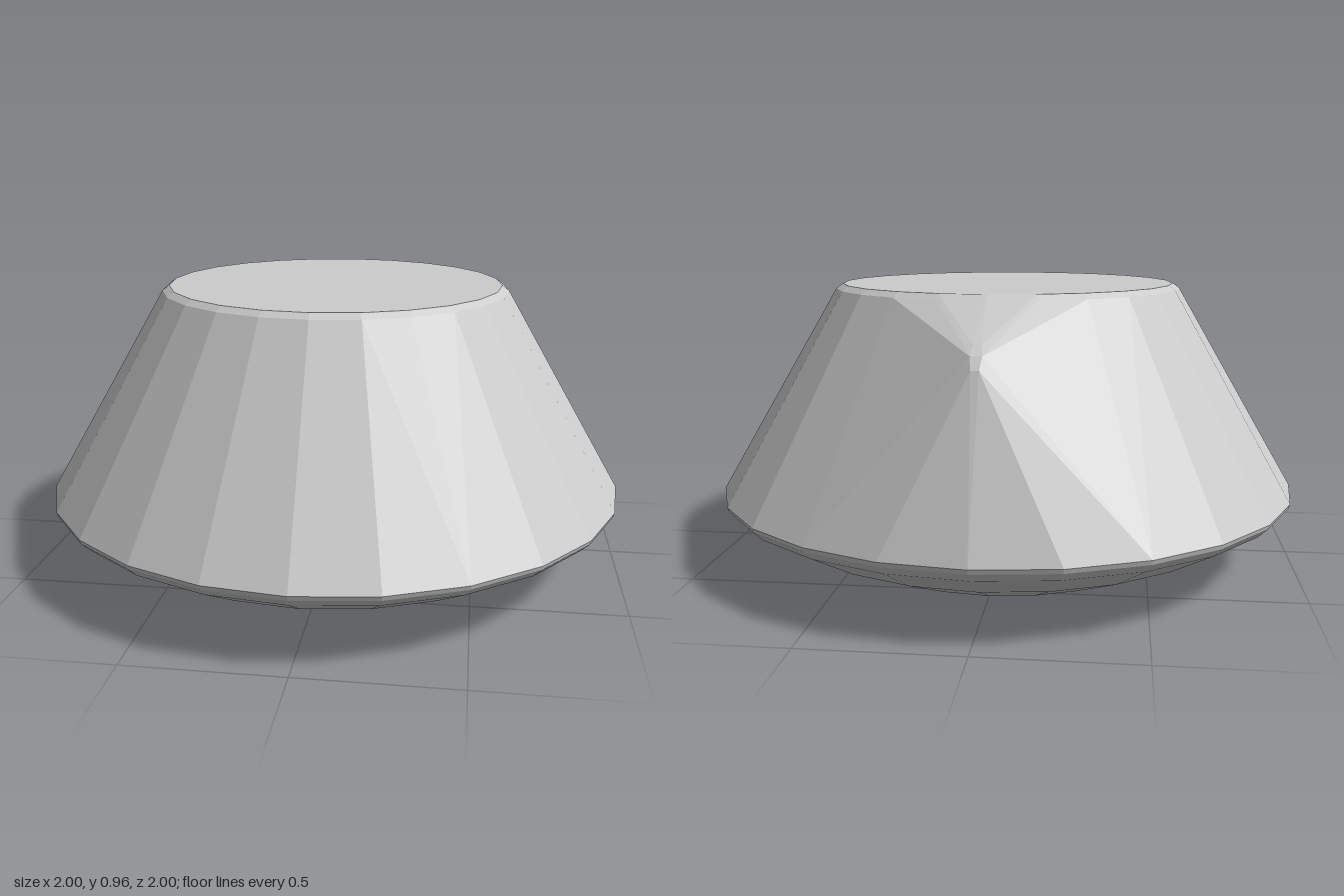
import * as THREE from 'three';
import { ConvexGeometry } from 'three/addons/geometries/ConvexGeometry.js';

export function createModel() {
  const group = new THREE.Group();
  const material = new THREE.MeshStandardMaterial({ color: 0xcccccc, flatShading: true });

  // Rings of the body as [radius, height], from the foot to the flat top
  const rings = [
    [0.545, 0], [0.8, 0.11], [0.965, 0.205], [0.995, 0.235],
    [1, 0.25], [0.985, 0.275], [0.595, 0.94], [0.572, 0.957],
  ];
  const sides = 24;
  const points = [];
  for (const [radius, y] of rings) {
    for (let i = 0; i < sides; i++) {
      const a = (i / sides) * Math.PI * 2;
      points.push(new THREE.Vector3(Math.sin(a) * radius, y, Math.cos(a) * radius));
    }
  }

  // Blunt pointed spur at the back, which the skin stretches over
  for (const [halfWidth, y, z] of [[0.012, 0.832, -0.775], [0.018, 0.805, -0.813], [0.012, 0.768, -0.838]]) {
    for (const s of [-1, 1]) points.push(new THREE.Vector3(s * halfWidth, y, z));
  }

  const body = new THREE.Mesh(new ConvexGeometry(points), material);
  body.name = 'taperedBody';
  group.add(body);
  return group;
}
